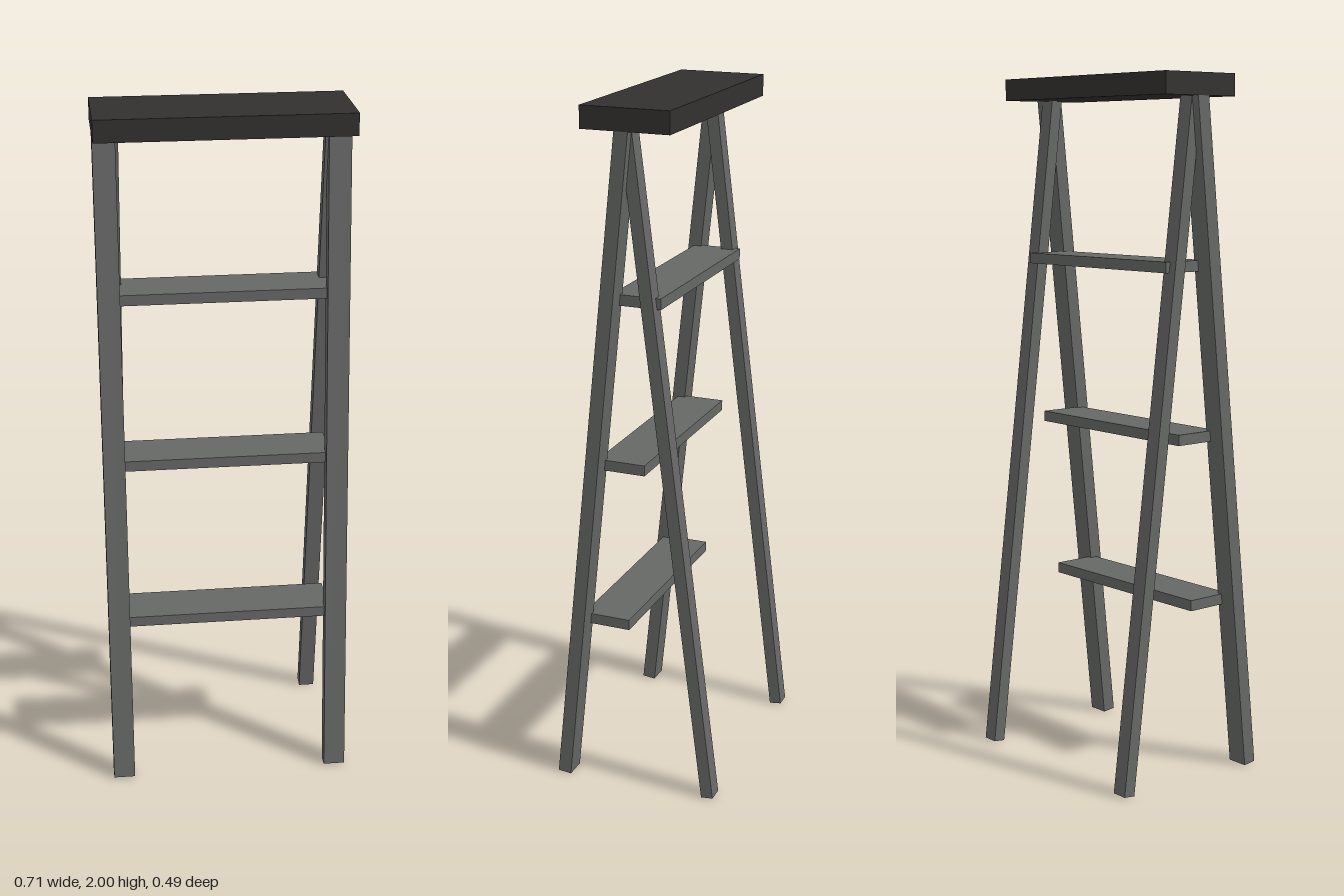
import * as THREE from 'three';

const grey = new THREE.MeshStandardMaterial({ color: 0x666866 });
const dark = new THREE.MeshStandardMaterial({ color: 0x333130 });

export function createModel() {
  const ladder = new THREE.Group();
  ladder.name = 'stepladder';

  function box(name, w, h, d, x, y, z, material = grey) {
    const mesh = new THREE.Mesh(new THREE.BoxGeometry(w, h, d), material);
    mesh.name = name;
    mesh.position.set(x, y, z);
    ladder.add(mesh);
    return mesh;
  }

  // Square-cut leg leaning in the y-z plane from its foot to its head
  function leg(name, w, d, x, footZ, headZ) {
    const footY = 0.002, headY = 1.965;
    const length = Math.hypot(headY - footY, headZ - footZ);
    const mesh = box(name, w, length, d, x, (footY + headY) / 2, (footZ + headZ) / 2);
    mesh.rotation.x = Math.atan2(headZ - footZ, headY - footY);
  }

  // Top platform
  box('topPlatform', 0.708, 0.062, 0.256, 0, 1.969, 0.005, dark);

  // Wide front legs and slimmer back legs, mirrored
  for (const [side, s] of [['left', 1], ['right', -1]]) {
    leg(side + 'FrontLeg', 0.063, 0.04, s * 0.322, 0.223, 0.013);
    leg(side + 'BackLeg', 0.047, 0.036, s * 0.3055, -0.225, 0.017);
  }

  // Treads, set into the middle of the front legs
  for (let i = 0; i < 3; i++) {
    box('tread' + (i + 1), 0.61, 0.031, 0.142, 0, 0.504 + i * 0.485, 0.099 - i * 0.0515);
  }

  return ladder;
}
